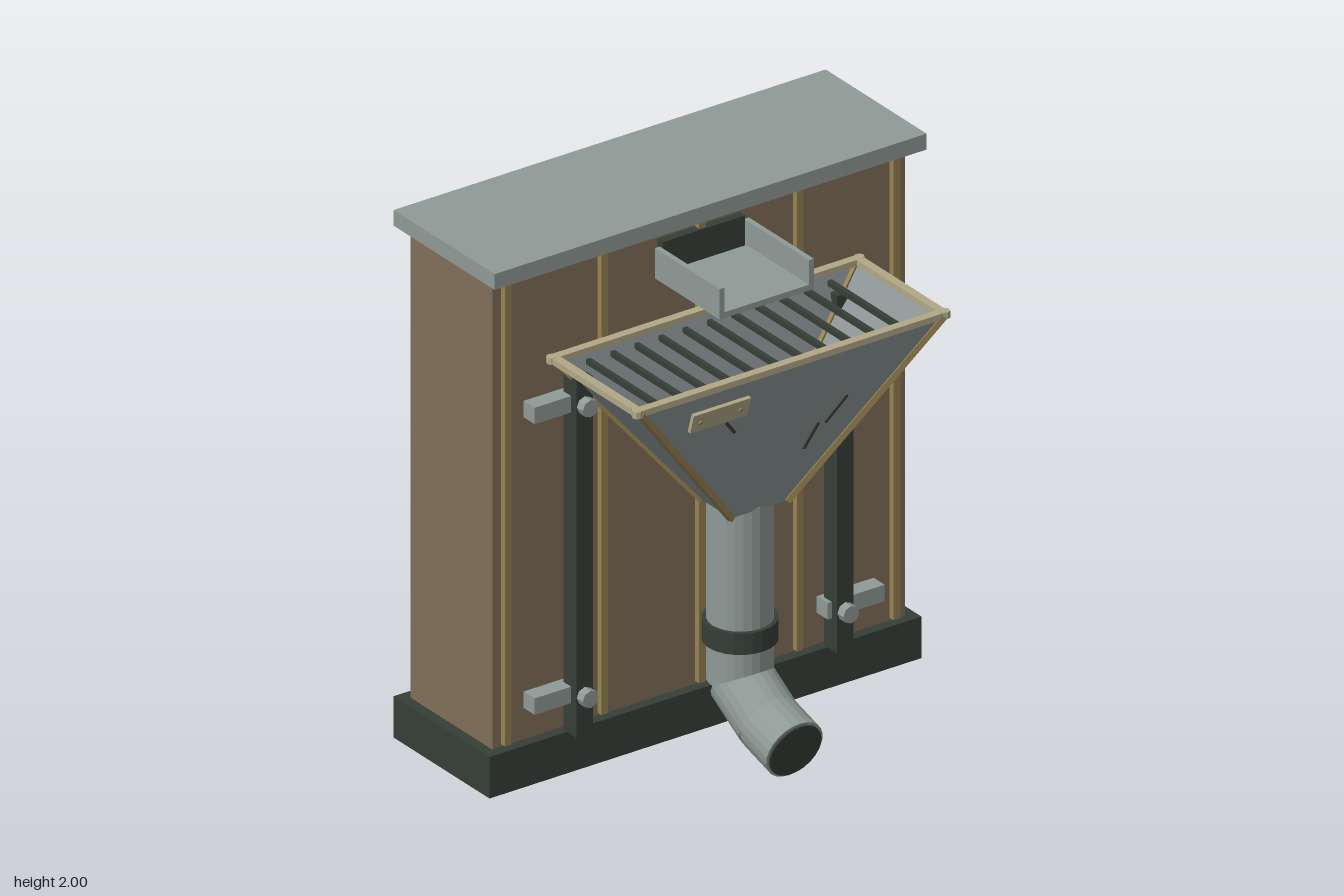
import * as THREE from 'three';

const mat = (name, hex) => {
  const m = new THREE.MeshStandardMaterial({ color: hex });
  m.name = name;
  return m;
};

export function createModel() {
  const model = new THREE.Group();
  model.name = 'wallHopper';

  const brown = mat('wall brown', 0x806f58);
  const grey = mat('galvanised grey', 0x8f9a96);
  const dark = mat('dark iron', 0x363e38);
  const gold = mat('ochre trim', 0x978251);
  const beige = mat('pale beige', 0xb0a786);
  const scratch = mat('scratch brown', 0x443d33);
  const panelGrey = mat('hopper grey', 0x8a9394);
  panelGrey.side = THREE.DoubleSide;

  const add = (name, geo, m, parent = model) => {
    const mesh = new THREE.Mesh(geo, m);
    mesh.name = name;
    parent.add(mesh);
    return mesh;
  };
  // Box given by its extents on each axis
  const box = (name, m, x0, x1, y0, y1, z0, z1, parent = model) => {
    const mesh = add(name, new THREE.BoxGeometry(x1 - x0, y1 - y0, z1 - z0), m, parent);
    mesh.position.set((x0 + x1) / 2, (y0 + y1) / 2, (z0 + z1) / 2);
    return mesh;
  };
  // Faceted cylinder running from a to b
  const rod = (name, m, a, b, r, sides = 24) => {
    const dir = b.clone().sub(a);
    const geo = new THREE.CylinderGeometry(r, r, dir.length(), sides).toNonIndexed();
    geo.computeVertexNormals();
    const mesh = add(name, geo, m);
    mesh.position.copy(a).add(b).multiplyScalar(0.5);
    mesh.quaternion.setFromUnitVectors(new THREE.Vector3(0, 1, 0), dir.normalize());
    return mesh;
  };
  const V = (x, y, z) => new THREE.Vector3(x, y, z);

  // Wall block, plinth and coping
  box('wall', brown, -0.855, 0.855, 0, 1.94, -0.515, -0.04);
  box('plinth', dark, -0.895, 0.895, 0.003, 0.16, -0.555, 0);
  box('coping', grey, -0.895, 0.895, 1.94, 2, -0.555, 0.03);

  // Vertical battens on the front
  for (const x of [-0.805, -0.405, 0, 0.405, 0.805])
    box('batten', gold, x - 0.014, x + 0.014, 0.17, 1.925, -0.045, -0.017);

  // Posts with wall brackets and bolts
  for (const s of [-1, 1]) {
    box('post', dark, s * 0.54 - 0.034, s * 0.54 + 0.034, 0.16, 1.51, -0.02, 0.055);
    for (const y of [0.31, 1.41]) {
      box('bracket', grey, s * 0.607 - 0.118, s * 0.607 + 0.118, y - 0.031, y + 0.031, -0.04, 0.024);
      rod('bolt', grey, V(s * 0.54, y, 0.05), V(s * 0.54, y, 0.09), 0.033, 8);
    }
  }

  // Feed tray with its dark wall opening
  box('feedOpening', dark, -0.17, 0.17, 1.775, 1.89, -0.045, -0.008);
  box('trayFloor', grey, -0.195, 0.195, 1.755, 1.777, -0.02, 0.355);
  for (const s of [-1, 1])
    box('traySide', grey, s * 0.185 - 0.01, s * 0.185 + 0.01, 1.755, 1.87, -0.02, 0.355);

  // Tapered hopper: four open panels between top and bottom rectangles
  const ring = (x, y, z0, z1) => [V(-x, y, z1), V(x, y, z1), V(x, y, z0), V(-x, y, z0)];
  const top = ring(0.628, 1.585, 0, 0.502);
  const bottom = ring(0.115, 0.96, 0.135, 0.31);
  const hopper = new THREE.Group();
  hopper.name = 'hopper';
  model.add(hopper);
  for (let i = 0; i < 4; i++) {
    const j = (i + 1) % 4;
    const pts = [bottom[i], bottom[j], top[j], bottom[i], top[j], top[i]];
    const geo = new THREE.BufferGeometry().setFromPoints(pts);
    geo.computeVertexNormals();
    add('hopperPanel', geo, panelGrey, hopper);
    // Ochre strip along each corner
    const strip = add('hopperEdge',
      new THREE.BoxGeometry(0.022, 0.022, top[i].distanceTo(bottom[i])), gold, hopper);
    strip.position.copy(top[i]).add(bottom[i]).multiplyScalar(0.5);
    strip.lookAt(top[i]);
  }

  // Rim around the hopper mouth
  box('rimFront', beige, -0.645, 0.645, 1.577, 1.6, 0.475, 0.508, hopper);
  box('rimBack', beige, -0.645, 0.645, 1.577, 1.6, -0.015, 0.018, hopper);
  for (const s of [-1, 1]) {
    box('rimSide', beige, s * 0.63 - 0.016, s * 0.63 + 0.016, 1.577, 1.6, 0.018, 0.475, hopper);
    for (const z of [0, 0.495])
      rod('rimCorner', beige, V(s * 0.637, 1.576, z), V(s * 0.637, 1.601, z), 0.019, 8);
  }

  // Grate bars
  for (let i = -5; i <= 5; i++)
    box('grateBar', dark, i * 0.1 - 0.009, i * 0.1 + 0.009, 1.54, 1.56, 0.02, 0.46, hopper);

  // Plate and scratches lie in the plane of the front panel
  const tilt = Math.atan2(0.192, 0.625);
  const face = new THREE.Group();
  face.name = 'frontPanelDetails';
  face.position.set(0, 1.2725, 0.406);
  face.rotation.x = tilt;
  model.add(face);
  const local = (y) => (y - 1.2725) / Math.cos(tilt);
  box('plate', beige, -0.4, -0.163, local(1.435), local(1.51), -0.012, 0.014, face);
  for (const x of [-0.365, -0.2]) {
    const rivet = add('plateRivet', new THREE.CylinderGeometry(0.008, 0.008, 0.008, 8), gold, face);
    rivet.rotation.x = Math.PI / 2;
    rivet.position.set(x, local(1.472), 0.016);
  }
  for (const [x0, y0, x1, y1] of [
    [-0.24, 1.42, -0.19, 1.36], [0.275, 1.365, 0.205, 1.27], [0.175, 1.28, 0.135, 1.18]]) {
    const dx = x1 - x0, dy = local(y1) - local(y0);
    const mark = add('scratch', new THREE.BoxGeometry(Math.hypot(dx, dy), 0.012, 0.009), scratch, face);
    mark.position.set((x0 + x1) / 2, (local(y0) + local(y1)) / 2, 0);
    mark.rotation.z = Math.atan2(dy, dx);
  }

  // Downpipe, two elbow sections, collar and mouth
  const path = [V(0, 0.97, 0.2), V(0, 0.28, 0.2), V(0, 0.18, 0.365), V(0, 0.137, 0.515)];
  ['downpipe', 'elbow', 'spout'].forEach((n, i) => rod(n, grey, path[i], path[i + 1], 0.115));
  rod('collar', dark, V(0, 0.43, 0.2), V(0, 0.51, 0.2), 0.131);
  const out = path[3].clone().sub(path[2]).normalize();
  rod('spoutMouth', dark, path[3], path[3].clone().addScaledVector(out, 0.008), 0.105);

  return model;
}
